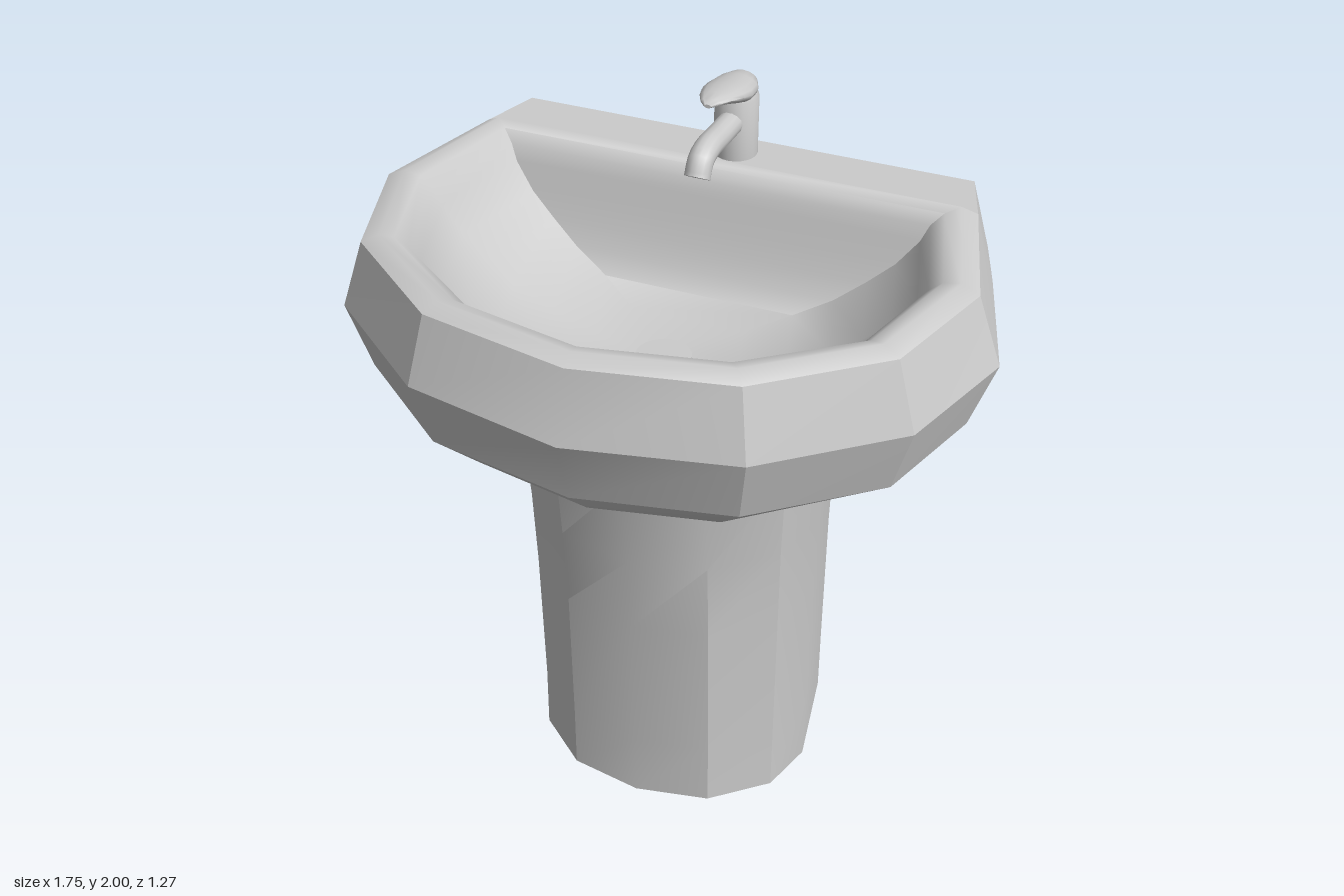
import * as THREE from 'three';
import { toCreasedNormals } from 'three/addons/utils/BufferGeometryUtils.js';

const material = new THREE.MeshStandardMaterial({ color: 0xcccccc });

// Adds the -x half of a ring given its +x half
function mirror(half) {
  const left = half.filter(p => p[0] > 1e-6).reverse().map(([x, y, z]) => [-x, y, z]);
  return half.concat(left);
}

// Skins a list of equal-length closed rings, capping the chosen ends
function loft(rings, crease, capStart = true, capEnd = true) {
  const n = rings[0].length, pos = rings.flat(2), idx = [];
  for (let r = 0; r < rings.length - 1; r++) {
    for (let i = 0; i < n; i++) {
      const a = r * n + i, b = r * n + (i + 1) % n;
      idx.push(a, b, b + n, a, b + n, a + n);
    }
  }
  const cap = (r, flip) => {
    const ring = rings[r], centre = pos.length / 3;
    for (let k = 0; k < 3; k++) pos.push(ring.reduce((s, p) => s + p[k], 0) / n);
    for (let i = 0; i < n; i++) {
      const a = r * n + i, b = r * n + (i + 1) % n;
      idx.push(centre, flip ? b : a, flip ? a : b);
    }
  };
  if (capStart) cap(0, true);
  if (capEnd) cap(rings.length - 1, false);
  const g = new THREE.BufferGeometry();
  g.setAttribute('position', new THREE.Float32BufferAttribute(pos, 3));
  g.setIndex(idx);
  return toCreasedNormals(g, crease);
}

// Horizontal ring from [x, z] points running front to back
const level = (y, ...pts) => mirror(pts.map(([x, z]) => [x, y, z]));

export function createModel() {
  const model = new THREE.Group();
  const add = (name, geometry, parent = model) => {
    const mesh = new THREE.Mesh(geometry, material);
    mesh.name = name;
    parent.add(mesh);
    return mesh;
  };

  // Pedestal: flat back, widest a third of the way in, flaring towards the top
  add('pedestal', loft([
    level(0, [0, 0.17], [0.21, 0.13], [0.36, 0], [0.405, -0.16], [0.35, -0.47]),
    level(0.2, [0, 0.175], [0.21, 0.133], [0.36, 0], [0.405, -0.16], [0.35, -0.47]),
    level(0.65, [0, 0.195], [0.21, 0.15], [0.365, 0.015], [0.41, -0.155], [0.352, -0.47]),
    level(0.9, [0, 0.22], [0.212, 0.17], [0.37, 0.03], [0.42, -0.15], [0.358, -0.47]),
    level(1.18, [0, 0.245], [0.215, 0.2], [0.385, 0.06], [0.44, -0.15], [0.37, -0.47]),
  ], 0.5));

  // Basin shell: underside and faceted outer wall
  const rimEdge = level(1.75, [0, 0.58], [0.41, 0.495], [0.71, 0.25], [0.81, -0.09], [0.7, -0.475]);
  add('basinShell', loft([
    level(1.18, [0, 0.25], [0.215, 0.2], [0.385, 0.06], [0.44, -0.15], [0.37, -0.475]),
    level(1.265, [0, 0.47], [0.33, 0.4], [0.55, 0.18], [0.62, -0.11], [0.54, -0.475]),
    level(1.37, [0, 0.575], [0.41, 0.49], [0.71, 0.24], [0.81, -0.09], [0.7, -0.475]),
    level(1.56, [0, 0.635], [0.44, 0.54], [0.765, 0.27], [0.877, -0.09], [0.757, -0.475]),
    rimEdge,
  ], 0.42, true, false));

  // Rim and bowl: softly rounded over the edge, then a shallow dish to the drain
  add('bowl', loft([
    rimEdge,
    level(1.773, [0, 0.54], [0.385, 0.46], [0.665, 0.235], [0.76, -0.09], [0.66, -0.455]),
    level(1.765, [0, 0.505], [0.36, 0.43], [0.63, 0.22], [0.715, -0.09], [0.625, -0.42]),
    level(1.735, [0, 0.475], [0.34, 0.4], [0.6, 0.205], [0.68, -0.09], [0.595, -0.398]),
    level(1.69, [0, 0.455], [0.325, 0.385], [0.575, 0.19], [0.655, -0.09], [0.575, -0.385]),
    level(1.62, [0, 0.425], [0.305, 0.355], [0.525, 0.17], [0.595, -0.085], [0.52, -0.365]),
    level(1.56, [0, 0.38], [0.275, 0.315], [0.465, 0.15], [0.525, -0.08], [0.45, -0.345]),
    level(1.5, [0, 0.32], [0.23, 0.265], [0.395, 0.115], [0.45, -0.075], [0.37, -0.32]),
    level(1.45, [0, 0.24], [0.17, 0.19], [0.29, 0.08], [0.33, -0.07], [0.27, -0.285]),
    level(1.415, [0, 0.13], [0.1, 0.1], [0.18, 0.04], [0.2, -0.06], [0.16, -0.21]),
    level(1.4, [0, 0.03], [0.04, 0.02], [0.065, -0.01], [0.07, -0.05], [0.04, -0.1]),
  ], 0.8, false, true));

  // Drain
  const drain = add('drain', new THREE.CylinderGeometry(0.075, 0.075, 0.016, 24));
  drain.position.set(0, 1.4, -0.04);

  // Wall block behind the basin that carries the tap
  add('backLedge', loft([
    mirror([[0.5, 1.28, -0.64], [0.645, 1.37, -0.64], [0.7, 1.56, -0.64], [0.645, 1.75, -0.64]]),
    mirror([[0.54, 1.262, -0.475], [0.7, 1.37, -0.475], [0.757, 1.56, -0.475], [0.7, 1.75, -0.475]]),
  ], 0.3));

  // Tap
  const tap = new THREE.Group();
  tap.name = 'tap';
  model.add(tap);

  const body = new THREE.LatheGeometry([
    [0, 1.74], [0.06, 1.74], [0.06, 1.92], [0.05, 1.94], [0, 1.945],
  ].map(([r, y]) => new THREE.Vector2(r, y)), 20);
  add('tapBody', toCreasedNormals(body, 0.6), tap).position.z = -0.56;

  // Spout: bent tube with a closed outlet
  const path = new THREE.CatmullRomCurve3([
    [1.855, -0.54], [1.862, -0.42], [1.866, -0.34], [1.852, -0.293], [1.815, -0.27],
  ].map(([y, z]) => new THREE.Vector3(0, y, z)));
  add('spout', new THREE.TubeGeometry(path, 20, 0.035, 14), tap);
  const outlet = add('spoutOutlet', new THREE.CircleGeometry(0.035, 14), tap);
  outlet.position.copy(path.getPoint(1));
  outlet.lookAt(path.getPoint(1).add(path.getTangent(1)));

  // Lever: oval sections [z, centre y, half width, half height] along z
  const lever = [
    [-0.622, 1.945, 0.015, 0.015], [-0.605, 1.942, 0.042, 0.028], [-0.56, 1.947, 0.06, 0.033],
    [-0.5, 1.957, 0.066, 0.032], [-0.45, 1.971, 0.06, 0.026], [-0.4, 1.983, 0.046, 0.017],
    [-0.36, 1.988, 0.028, 0.01], [-0.338, 1.987, 0.01, 0.005],
  ].map(([z, y, w, h]) => Array.from({ length: 16 }, (_, i) => {
    const a = i / 16 * Math.PI * 2;
    return [w * Math.cos(a), y + h * Math.sin(a), z];
  }));
  add('lever', loft(lever, 0.9), tap);

  return model;
}
